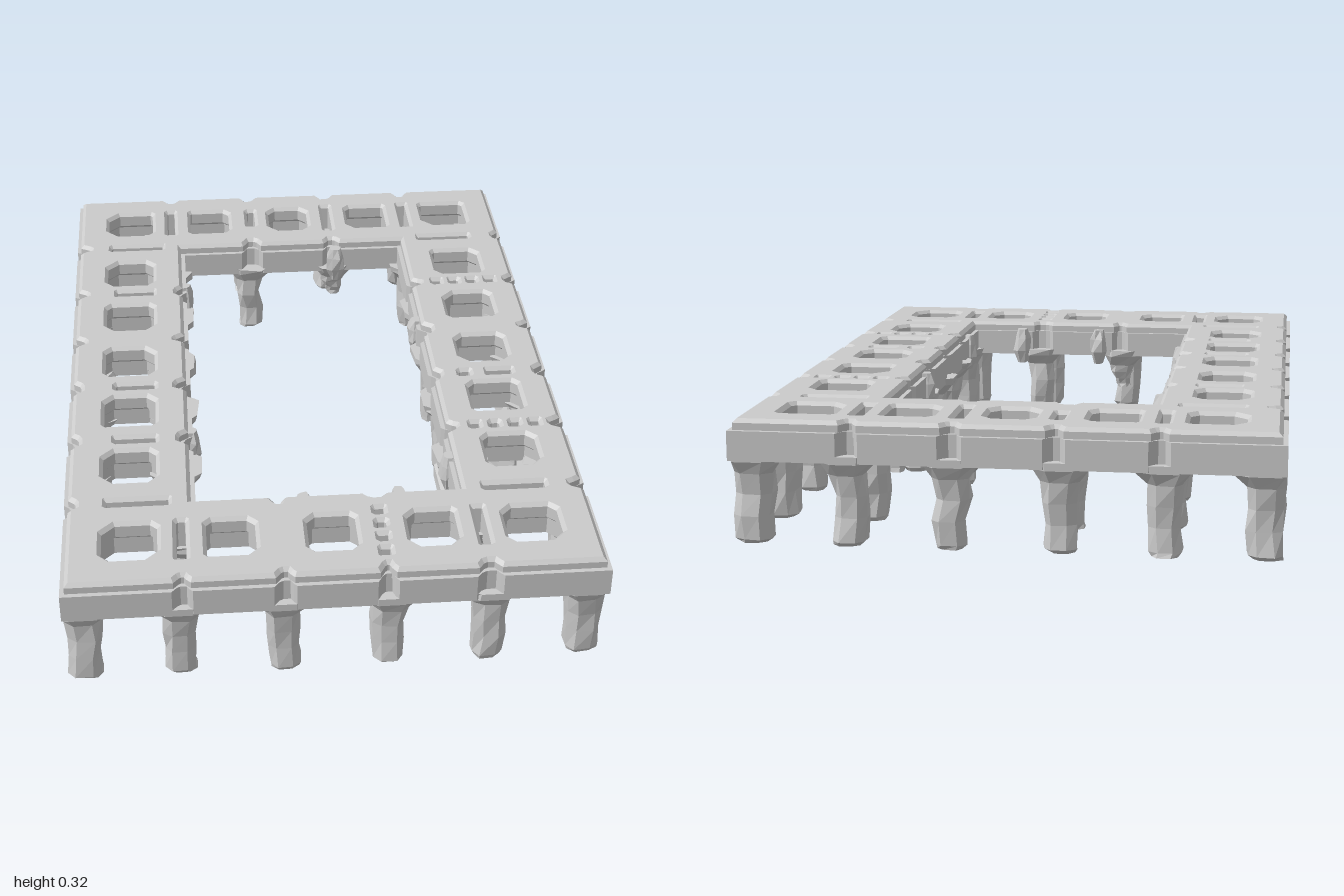
import * as THREE from 'three';

const HX = 0.68, HZ = 1, IX = 0.34, IZ = 0.655;      // outer and inner half sizes of the ring
const ROW_X = 0.51, ROW_Z = 0.825;                   // centre lines of the rows of cells
const material = new THREE.MeshStandardMaterial({ color: 0xcccccc, flatShading: true });

// Small seeded generator for the worn, chipped look
function makeRandom(seed) {
  return () => {
    seed = (seed * 16807) % 2147483647;
    return seed / 2147483647;
  };
}

function mesh(name, geometry) {
  const m = new THREE.Mesh(geometry, material);
  m.name = name;
  return m;
}

// Rectangular outline with worn notches; sign +1 cuts inwards, -1 outwards
function notchedRect(hx, hz, seamsX, seamsZ, sign, rnd) {
  const pts = [];
  const side = (ax, az, dx, dz, len, seams) => {
    const at = (t, inset) => pts.push(new THREE.Vector2(
      ax + dx * t - dz * inset * sign, az + dz * t + dx * inset * sign));
    at(0, 0);
    for (const s of seams) {
      const t = len / 2 + s, w = 0.016 + rnd() * 0.012, depth = 0.018 + rnd() * 0.014;
      at(t - w - 0.012, 0);
      at(t - w, depth * 0.7);
      at(t - w * 0.4, depth);
      at(t + w * 0.6, depth);
      at(t + w, depth * 0.4);
      at(t + w + 0.008, 0);
    }
  };
  const flip = (a) => a.map((v) => -v).reverse();
  side(-hx, -hz, 1, 0, 2 * hx, seamsX);
  side(hx, -hz, 0, 1, 2 * hz, seamsZ);
  side(hx, hz, -1, 0, 2 * hx, flip(seamsX));
  side(-hx, hz, 0, -1, 2 * hz, flip(seamsZ));
  return pts;
}

// Rectangle with clipped, slightly uneven corners
function opening(x, z, w, d, rnd) {
  const c = () => Math.min(w, d) * (0.15 + rnd() * 0.35);
  const a = c(), b = c(), e = c(), f = c();
  return new THREE.Path([
    [x - w + a, z - d], [x + w - b, z - d], [x + w, z - d + b], [x + w, z + d - e],
    [x + w - e, z + d], [x - w + f, z + d], [x - w, z + d - f], [x - w, z - d + a],
  ].map(([px, pz]) => new THREE.Vector2(px, -pz)));
}

// Every cell window, seam slot and small seam hole: [x, z, half width, half depth]
function openings(half, slotHalf, grow) {
  const list = [];
  for (const s of [-1, 1]) {
    for (const z of [-0.825, -0.51, -0.25, -0.005, 0.245, 0.505, 0.825]) list.push([s * ROW_X, z, half, half]);
    for (const x of [-0.255, 0, 0.255]) list.push([x, s * ROW_Z, half * 0.9, half]);
    for (const z of [-0.67, 0.665]) list.push([s * 0.49, z, 0.08 + grow, slotHalf]);
    for (const x of [-0.38, 0.38]) list.push([x, s * ROW_Z, slotHalf, 0.075 + grow]);
  }
  for (const z of [-0.39, 0.125, 0.385]) list.push([-0.495, z, 0.055 + grow, slotHalf]);
  for (const z of [-0.39, 0.385]) {
    for (let i = 0; i < 4; i++) list.push([0.43 + i * 0.055, z, 0.012 + grow, 0.012 + grow]);
  }
  list.push([0.54, 0.125, 0.035 + grow, slotHalf], [0.44, 0.125, 0.015 + grow, slotHalf]);
  list.push([0.127, -ROW_Z, slotHalf, 0.08 + grow], [-0.12, -0.84, slotHalf, 0.05 + grow]);
  for (let i = 0; i < 4; i++) list.push([0.127, 0.745 + i * 0.055, 0.012 + grow, 0.012 + grow]);
  return list;
}

// One layer of the ring, between heights y0 and y1
function ringLayer(name, inset, y0, y1, half, slotHalf, grow, bevel, seed) {
  const rnd = makeRandom(seed);
  const seamsX = [-0.38, -0.127, 0.127, 0.38], seamsZ = [-0.665, -0.385, -0.125, 0.12, 0.39, 0.67];
  const shape = new THREE.Shape(notchedRect(HX - inset, HZ - inset, seamsX, seamsZ, 1, rnd));
  shape.holes.push(new THREE.Path(
    notchedRect(IX + inset, IZ + inset, [-0.127, 0.127], seamsZ.slice(1, 5), -1, rnd)));
  for (const [x, z, w, d] of openings(half, slotHalf, grow)) shape.holes.push(opening(x, z, w, d, rnd));
  const g = new THREE.ExtrudeGeometry(shape, {
    depth: y1 - y0 - 2 * bevel, bevelEnabled: bevel > 0, bevelThickness: bevel,
    bevelSize: bevel, bevelSegments: 1, steps: 1,
  });
  g.rotateX(-Math.PI / 2).translate(0, y0 + bevel, 0);
  return mesh(name, g);
}

// Uneven chunk lofted through eight-sided sections: each level is [y, half width, half depth, dx, dz]
function chunk(name, x, z, levels, rough, rnd) {
  const N = 8, pos = [], idx = [];
  for (const [y, w, d, dx = 0, dz = 0] of levels) {
    for (let j = 0; j < N; j++) {
      const a = ((j + 0.5) / N) * Math.PI * 2;
      const k = 1 - rnd() * rough;
      const cx = THREE.MathUtils.clamp(Math.cos(a) * 1.3, -1, 1), cz = THREE.MathUtils.clamp(Math.sin(a) * 1.3, -1, 1);
      pos.push(
        THREE.MathUtils.clamp(x + dx + cx * w * k, -HX, HX), y,
        THREE.MathUtils.clamp(z + dz + cz * d * k, -HZ, HZ));
    }
  }
  const top = (levels.length - 1) * N;
  for (let i = 0; i < top; i += N) {
    for (let j = 0; j < N; j++) {
      const k = (j + 1) % N;
      idx.push(i + j, i + N + j, i + k, i + k, i + N + j, i + N + k);
    }
  }
  for (let j = 1; j < N - 1; j++) idx.push(0, j, j + 1, top, top + j + 1, top + j);
  const g = new THREE.BufferGeometry();
  g.setAttribute('position', new THREE.Float32BufferAttribute(pos, 3));
  g.setIndex(idx);
  const flat = g.toNonIndexed();
  flat.computeVertexNormals();
  return mesh(name, flat);
}

// Leg flaring into the arch above; "broken" legs stop short of the ground
function leg(x, z, w, d, broken, rnd) {
  const y0 = broken ? 0.05 + rnd() * 0.08 : 0;
  const thin = broken ? 0.65 : 1, lean = () => (rnd() - 0.5) * 0.014;
  const h = 0.18 - y0;
  return chunk('leg', x, z, [
    [y0, w * 0.8 * thin, d * 0.8 * thin, lean(), lean()],
    [y0 + 0.012, w * 0.95 * thin, d * 0.95 * thin, lean(), lean()],
    [y0 + h * 0.4, w * 0.95 * thin, d * 0.95 * thin, lean(), lean()],
    [y0 + h * 0.7, w, d, lean(), lean()],
    [0.18, w * 1.08, d * 1.08],
    [0.212, w + 0.03, d + 0.03],
    [0.232, w + 0.035, d + 0.035],
  ], 0.2, rnd);
}

export function createModel() {
  const model = new THREE.Group();
  model.name = 'ruinedArcade';
  const rnd = makeRandom(4217);

  // Thick lower slab and the bevelled, inset top layer
  model.add(ringLayer('lowerSlab', 0, 0.215, 0.29, 0.082, 0.016, 0, 0, 77));
  model.add(ringLayer('topLayer', 0.022, 0.265, 0.318, 0.08, 0.022, 0.01, 0.01, 77));

  // Legs along both edges of each row
  const legs = new THREE.Group();
  legs.name = 'legs';
  for (const s of [-1, 1]) {
    for (const t of [-1, 1]) {
      legs.add(leg(s * 0.63, t * 0.94, 0.05, 0.045, false, rnd));
      legs.add(leg(s * 0.39, t * 0.94, 0.045, 0.045, false, rnd));
      legs.add(leg(s * 0.63, t * 0.68, 0.045, 0.065, false, rnd));
      legs.add(leg(s * 0.39, t * 0.68, 0.045, 0.055, false, rnd));
      legs.add(leg(s * 0.135, t * 0.94, 0.046, 0.045, false, rnd));
      legs.add(leg(s * 0.135, t * 0.71, 0.04, 0.04, rnd() < 0.5, rnd));
    }
    for (const z of [-0.385, -0.12, 0.125, 0.4]) {
      legs.add(leg(s * 0.63, z, 0.045, 0.05, false, rnd));
      legs.add(leg(s * 0.39, z, 0.04, 0.045, rnd() < 0.35, rnd));
    }
  }
  model.add(legs);

  // The one cell filled with a floor and rubble
  const rubble = new THREE.Group();
  rubble.name = 'filledCell';
  rubble.add(chunk('cellFloor', 0.51, 0.25, [[0, 0.16, 0.145], [0.035, 0.16, 0.145], [0.06, 0.12, 0.1]], 0.06, rnd));
  rubble.add(chunk('rubbleMound', 0.49, 0.22, [[0.03, 0.13, 0.11], [0.08, 0.11, 0.09], [0.12, 0.05, 0.05, -0.03]], 0.25, rnd));
  rubble.add(chunk('rubbleSlope', 0.6, 0.16, [[0.03, 0.065, 0.07], [0.12, 0.055, 0.05], [0.2, 0.035, 0.035, 0.02, -0.02]], 0.25, rnd));
  model.add(rubble);

  // Chipped lumps clinging to the inner edge
  const lumps = new THREE.Group();
  lumps.name = 'edgeLumps';
  for (const [x, z] of [[0.19, 0.645], [-0.06, 0.65], [0.14, -0.65], [-0.345, -0.45], [-0.345, 0.33], [0.345, -0.2], [0.345, 0.5]]) {
    lumps.add(chunk('edgeLump', x, z, [[0.19, 0.015, 0.015], [0.23, 0.03, 0.03], [0.27, 0.028, 0.028], [0.3, 0.018, 0.018]], 0.3, rnd));
  }
  model.add(lumps);
  return model;
}
